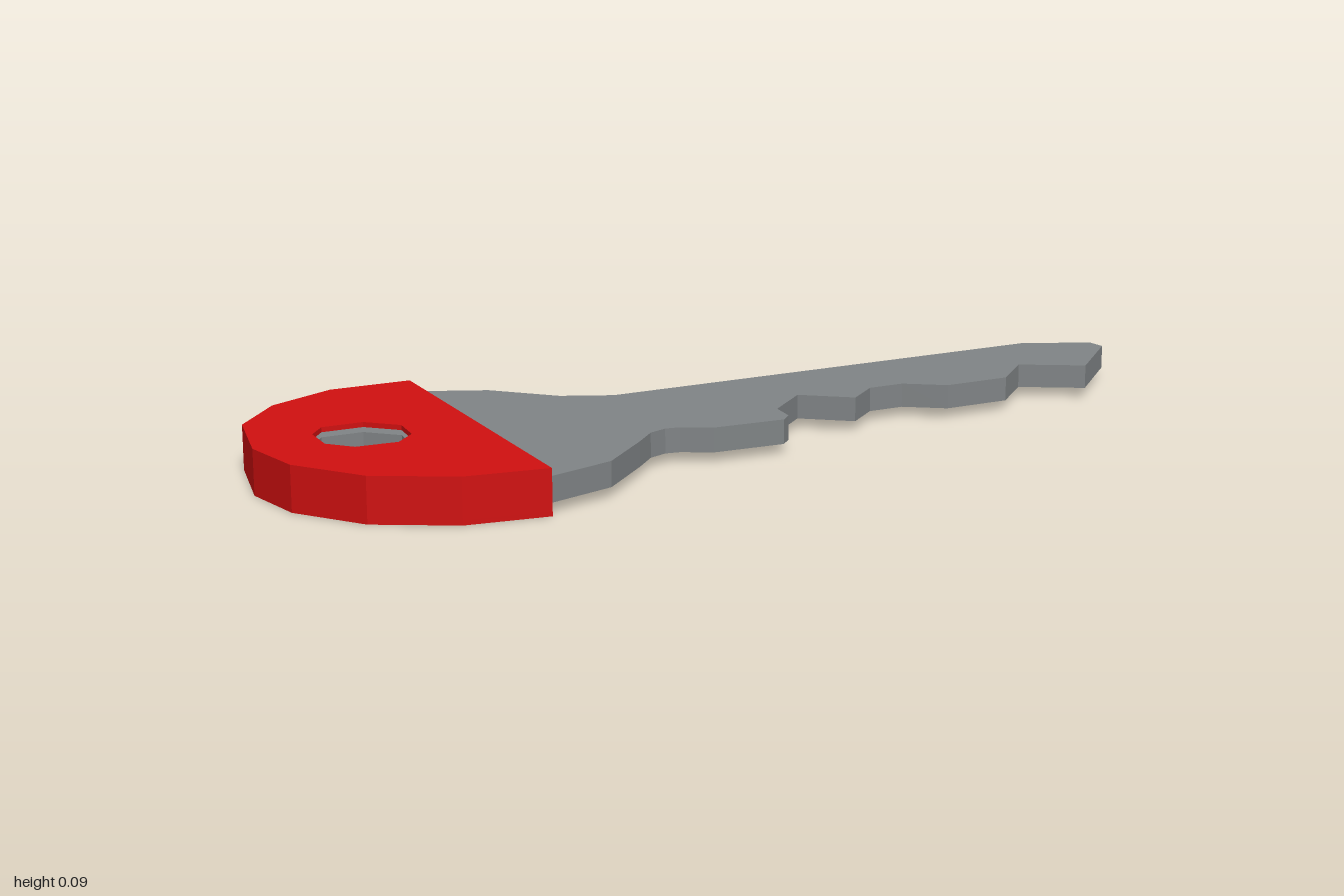
import * as THREE from 'three';

// Points are [x, z] in plan
const head = [[-0.525, -0.4], [-0.7, -0.4], [-0.85, -0.325], [-0.955, -0.2], [-1, -0.01],
  [-0.98, 0.135], [-0.89, 0.275], [-0.745, 0.365], [-0.58, 0.39]];
const ringHole = [[-0.83, -0.105], [-0.745, -0.105], [-0.69, -0.045], [-0.7, 0.03],
  [-0.745, 0.075], [-0.83, 0.07], [-0.87, 0.02], [-0.865, -0.06]];
// Shoulder, teeth and tip, from the front edge of the cap round to the back edge
const bladeEdge = [[-0.43, 0.33], [-0.315, 0.225], [-0.265, 0.175], [-0.225, 0.16], [-0.195, 0.165],
  [-0.14, 0.2], [0.015, 0.21], [0.04, 0.185], [0.05, 0.125], [0.15, 0.04], [0.24, 0.12],
  [0.315, 0.06], [0.395, 0.06], [0.47, 0.12], [0.62, 0.12], [0.72, 0.03], [0.84, 0.11],
  [1, -0.035], [1, -0.08], [0.86, -0.15], [-0.18, -0.145], [-0.28, -0.195], [-0.385, -0.315]];

// Shrinks the head outline about the middle of its straight cut
const inset = (s) => head.map(([x, z]) => [-0.5525 + (x + 0.5525) * s, -0.005 + (z + 0.005) * s]);
const vectors = (points) => points.map(([x, z]) => new THREE.Vector2(x, z));

// Flat plate between two heights
function plate(name, outline, hole, bottom, top, material) {
  const shape = new THREE.Shape(vectors(outline));
  if (hole) shape.holes.push(new THREE.Path(vectors(hole)));
  const geometry = new THREE.ExtrudeGeometry(shape, { depth: top - bottom, bevelEnabled: false });
  geometry.rotateX(Math.PI / 2).translate(0, top, 0);
  const mesh = new THREE.Mesh(geometry, material);
  mesh.name = name;
  return mesh;
}

export function createModel() {
  const red = new THREE.MeshStandardMaterial({ color: 0xd01010, flatShading: true });
  const steel = new THREE.MeshStandardMaterial({ color: 0x808486, flatShading: true });
  const model = new THREE.Group();
  model.name = 'key';

  // Metal key, its head running inside the cap
  model.add(plate('keyBlade', [...inset(0.96), ...bladeEdge], ringHole, 0.02, 0.07, steel));

  // Hollow cap: two covers joined by a thin rim, open along the cut
  const cap = new THREE.Group();
  cap.name = 'cap';
  cap.add(
    plate('capBottom', head, ringHole, 0, 0.01, red),
    plate('capTop', head, ringHole, 0.08, 0.09, red),
    plate('capRim', [...head, ...inset(0.975).reverse()], null, 0.01, 0.08, red),
  );
  model.add(cap);
  return model;
}
